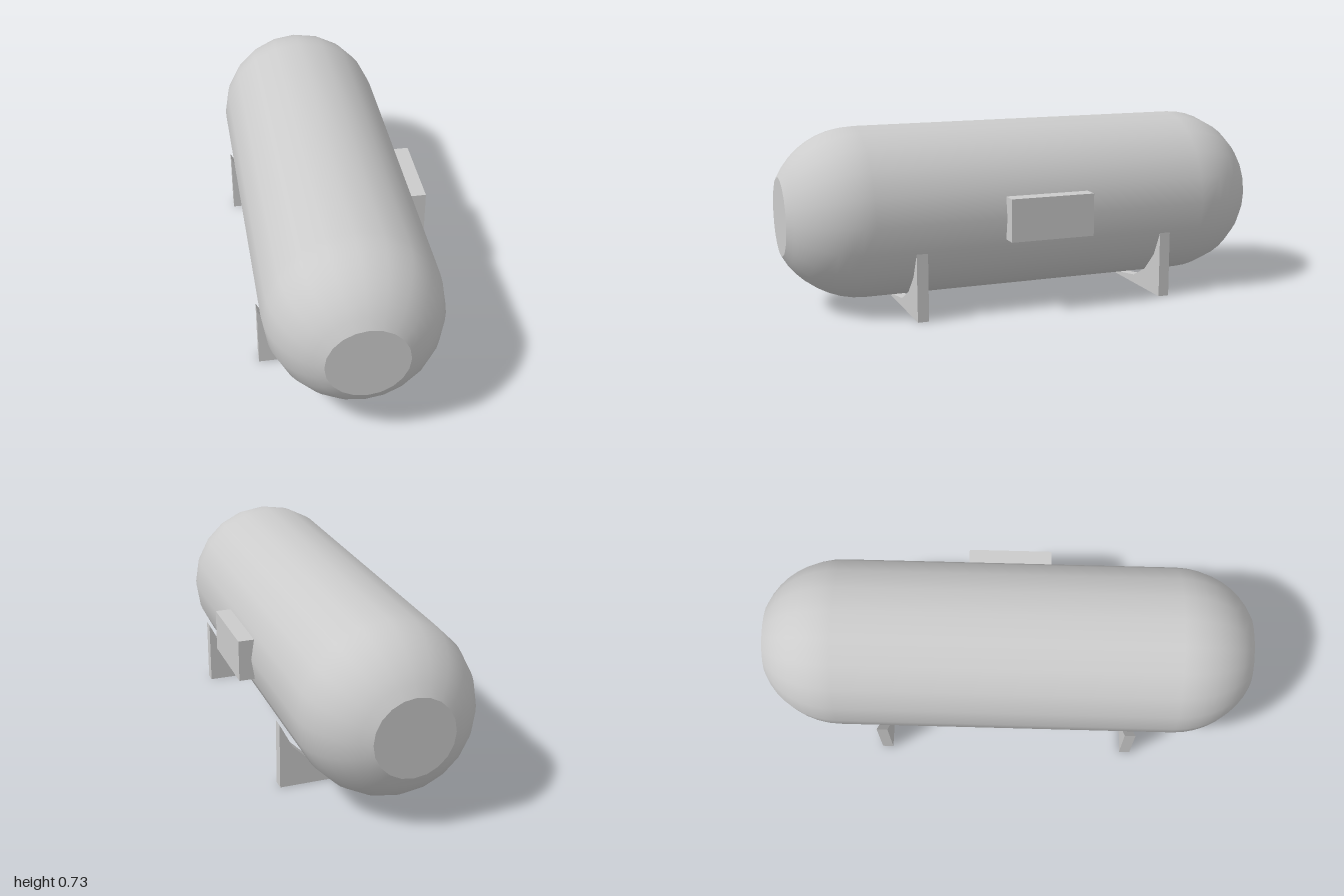
import * as THREE from 'three';

const CX = -0.026, CY = 0.382, R = 0.345, SIDES = 20;
const SHOULDER = 0.6926, CAP_ANGLE = THREE.MathUtils.degToRad(63), CAP_STEPS = 8;

export function createModel() {
  const model = new THREE.Group();
  const material = new THREE.MeshStandardMaterial({ color: 0xcccccc });
  const add = (name, geometry, x, y, z) => {
    const mesh = new THREE.Mesh(geometry, material);
    mesh.name = name;
    mesh.position.set(x, y, z);
    model.add(mesh);
    return mesh;
  };

  // Tank shell: straight barrel with truncated spherical ends
  const cap = [];
  for (let i = 0; i <= CAP_STEPS; i++) {
    const a = (CAP_ANGLE * i) / CAP_STEPS;
    cap.push(new THREE.Vector2(R * Math.cos(a), SHOULDER + R * Math.sin(a)));
  }
  const lower = cap.map((p) => new THREE.Vector2(p.x, -p.y)).reverse();
  const shell = new THREE.LatheGeometry([...lower, ...cap], SIDES).rotateX(Math.PI / 2);
  add('tankShell', shell, CX, CY, 0);

  // Flat discs closing both ends
  const endRadius = R * Math.cos(CAP_ANGLE);
  for (const s of [1, -1]) {
    const disc = add(s > 0 ? 'frontEndDisc' : 'backEndDisc',
      new THREE.CircleGeometry(endRadius, SIDES), CX, CY, s * (SHOULDER + R * Math.sin(CAP_ANGLE)));
    if (s < 0) disc.rotation.y = Math.PI;
  }

  // Two saddles: plates with a faceted cradle cut just clear of the shell
  const cradle = 0.364, depth = 0.045;
  const saddle = new THREE.Shape();
  const half = cradle * Math.sin(Math.PI * 0.4);
  saddle.moveTo(-half, 0);
  saddle.lineTo(half, 0);
  for (let i = 4; i >= -4; i--) {
    const a = (i * Math.PI) / 10;
    saddle.lineTo(cradle * Math.sin(a), CY - cradle * Math.cos(a));
  }
  saddle.closePath();
  const saddleGeometry = new THREE.ExtrudeGeometry(saddle, { depth, bevelEnabled: false })
    .translate(0, 0, -depth / 2);
  add('frontSaddle', saddleGeometry, CX, 0, 0.52);
  add('backSaddle', saddleGeometry, CX, 0, -0.517);

  // Control box set into the left flank
  add('controlBox', new THREE.BoxGeometry(0.09, 0.171, 0.346), 0.325, 0.3815, 0.001);

  return model;
}
